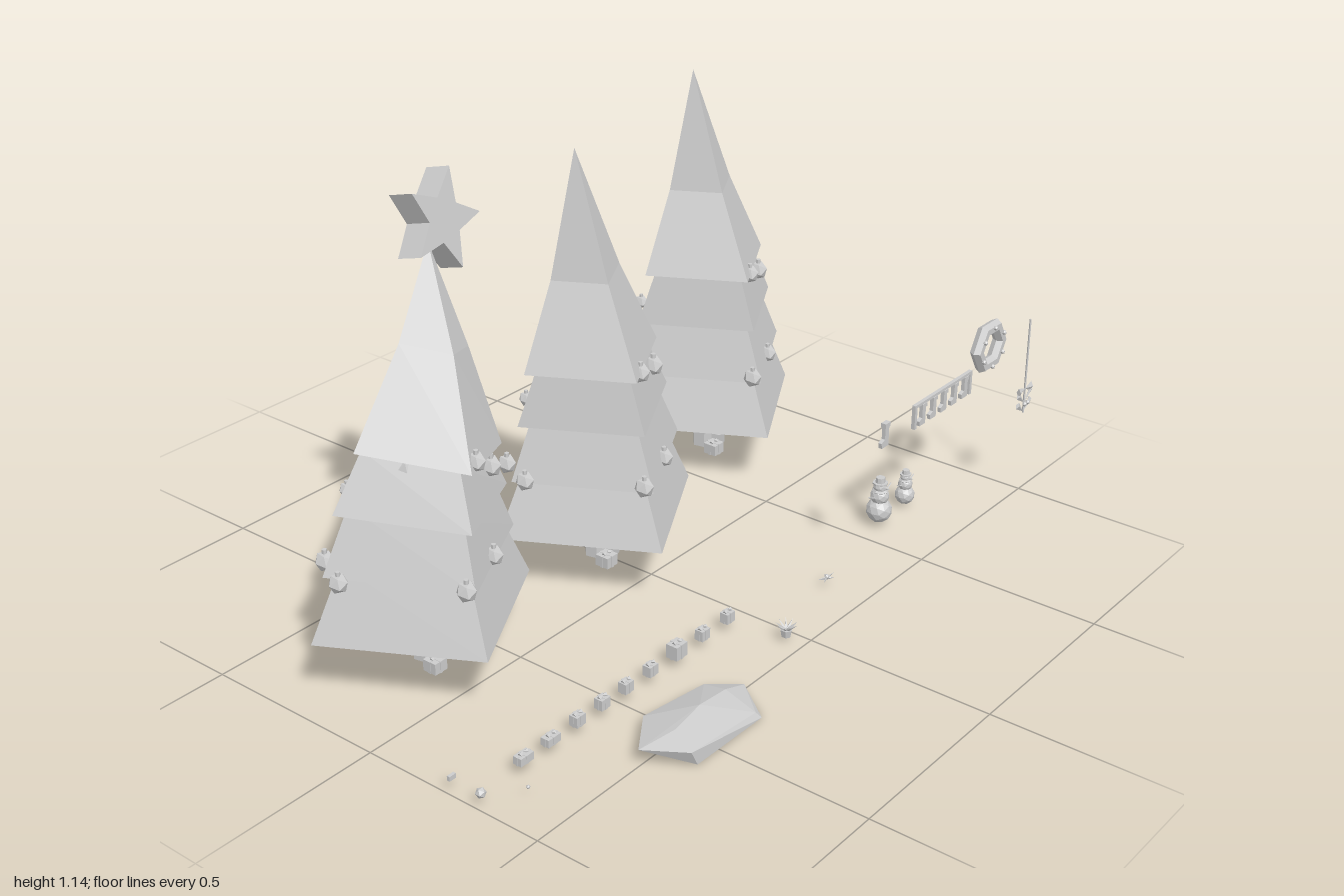
import * as THREE from 'three';
import { ConvexGeometry } from 'three/addons/geometries/ConvexGeometry.js';

const material = new THREE.MeshStandardMaterial({ color: 0xcccccc, flatShading: true, side: THREE.DoubleSide });

function add(parent, name, geometry, x = 0, y = 0, z = 0, rx = 0, ry = 0, rz = 0) {
  const mesh = new THREE.Mesh(geometry, material);
  mesh.name = name;
  mesh.position.set(x, y, z);
  mesh.rotation.set(rx, ry, rz);
  parent.add(mesh);
  return mesh;
}

function group(parent, name, x = 0, y = 0, z = 0) {
  const g = new THREE.Group();
  g.name = name;
  g.position.set(x, y, z);
  parent.add(g);
  return g;
}

const box = (w, h, d) => new THREE.BoxGeometry(w, h, d);
const ball = (r) => new THREE.IcosahedronGeometry(r, 0);

// Four corners of a turned square, optionally sloping along x
function ring([x, y, z, r, slope = 0]) {
  if (r === 0) return [new THREE.Vector3(x, y, z)];
  return [0, 1, 2, 3].map((i) => {
    const a = -0.28 + (i * Math.PI) / 2;
    const dx = r * Math.sin(a);
    return new THREE.Vector3(x + dx, y + slope * dx, z + r * Math.cos(a));
  });
}

// Wrapped present with crossed ribbons and a two-loop bow
function gift(parent, x, y, z, w, h, d, turn = 0) {
  const g = group(parent, 'gift', x, y, z);
  g.rotation.y = turn;
  add(g, 'giftBox', box(w, h, d), 0, h / 2, 0);
  add(g, 'ribbon', box(w * 0.2, h * 1.06, d * 1.06), 0, h / 2, 0);
  add(g, 'ribbon', box(w * 1.06, h * 1.06, d * 0.2), 0, h / 2, 0);
  for (const s of [-1, 1])
    add(g, 'bow', new THREE.ConeGeometry(0.006, 0.012, 4), s * 0.006, h + 0.004, 0, 0, 0, s * 1.2);
}

// Ornaments: x, y, z, radius
const LOW = [
  [-0.232, 0.32, -0.03, 0.025], [-0.088, 0.33, 0.232, 0.026], [0.072, 0.327, 0.166, 0.025],
  [0.215, 0.26, -0.037, 0.034], [0.12, 0.393, -0.135, 0.031], [-0.035, 0.42, -0.2, 0.02],
  [-0.136, 0.28, -0.18, 0.026],
];
const HIGH = [[-0.025, 0.598, 0.17, 0.025], [-0.115, 0.555, 0.04, 0.026], [0.12, 0.543, 0.092, 0.027], [0.09, 0.735, -0.035, 0.03]];
const HIGH_BENT = [[0.027, 0.588, 0.165, 0.025], [-0.07, 0.57, 0.04, 0.026], [0.15, 0.503, 0.092, 0.027], [0.175, 0.69, -0.08, 0.03]];

// Each tier is a pair of rings: x, y, z, radius, slope
const STRAIGHT = [
  [[0, 0.16, 0, 0.294], [0, 0.33, 0, 0.215]],
  [[0, 0.31, 0.004, 0.253], [-0.005, 0.47, 0.004, 0.185]],
  [[-0.008, 0.457, 0.004, 0.224], [-0.025, 0.61, 0.015, 0.16]],
  [[-0.03, 0.602, 0.018, 0.196], [-0.026, 0.82, -0.002, 0.1]],
  [[-0.026, 0.82, -0.002, 0.1], [-0.05, 1.14, -0.01, 0]],
];
const BENT = [
  [[0, 0.16, 0, 0.294], [0.01, 0.33, 0, 0.215, -0.05]],
  [[0, 0.313, 0, 0.253, -0.05], [0.015, 0.46, 0, 0.19, -0.13]],
  [[0.01, 0.445, 0.003, 0.228, -0.13], [0.03, 0.575, 0, 0.16, -0.23]],
  [[0.04, 0.565, 0.005, 0.192, -0.23], [0.125, 0.78, -0.05, 0.09, -0.3]],
  [[0.125, 0.78, -0.05, 0.09, -0.3], [0.22, 0.98, -0.15, 0]],
];

function tree(parent, x, z, tiers, ornaments) {
  const g = group(parent, 'tree', x, 0, z);
  add(g, 'trunk', new THREE.CylinderGeometry(0.032, 0.032, 0.14, 6), 0, 0.095, 0, 0, 0.2);
  for (const [a, b] of tiers) add(g, 'treeTier', new ConvexGeometry([...ring(a), ...ring(b)]));
  for (const [ox, oy, oz, r] of ornaments) {
    add(g, 'ornament', ball(r), ox, oy, oz, 0.3, 0.4, 0);
    add(g, 'ornamentCap', new THREE.CylinderGeometry(r * 0.25, r * 0.25, r * 0.4, 6), ox, oy + r, oz);
  }
  // Presents around the trunk
  gift(g, -0.03, 0.025, 0.06, 0.04, 0.03, 0.04);
  gift(g, 0.02, 0.025, 0.035, 0.035, 0.036, 0.03, 0.3);
  gift(g, 0.06, 0.025, 0.0, 0.04, 0.026, 0.035, 0.5);
  gift(g, 0.03, 0.025, -0.035, 0.03, 0.024, 0.028, 0.2);
}

function star(parent) {
  const shape = new THREE.Shape();
  for (let i = 0; i < 10; i++) {
    const r = i % 2 ? 0.055 : 0.125;
    const a = 1.13 + (i * Math.PI) / 5;
    shape[i ? 'lineTo' : 'moveTo'](r * Math.cos(a), r * Math.sin(a));
  }
  shape.closePath();
  const geo = new THREE.ExtrudeGeometry(shape, { depth: 0.07, bevelEnabled: false }).translate(0, 0, -0.035);
  add(parent, 'star', geo, -0.41, 1.02, -0.315, -0.25, 0.1, 0);
}

function snowman(parent, x, z, s) {
  const g = group(parent, 'snowman', x, 0.012, z);
  g.scale.setScalar(s);
  for (const [y, r] of [[0.034, 0.037], [0.078, 0.027], [0.106, 0.019]])
    add(g, 'snowball', new THREE.IcosahedronGeometry(r, 1), 0, y, 0);
  add(g, 'scarf', new THREE.TorusGeometry(0.018, 0.006, 5, 8), 0, 0.094, 0, Math.PI / 2);
  add(g, 'hatBrim', new THREE.CylinderGeometry(0.022, 0.022, 0.004, 8), 0, 0.118, 0);
  add(g, 'hat', new THREE.CylinderGeometry(0.013, 0.014, 0.016, 8), 0, 0.127, 0);
  add(g, 'nose', new THREE.ConeGeometry(0.005, 0.02, 5), 0, 0.106, 0.025, Math.PI / 2);
  for (const s2 of [-1, 1])
    add(g, 'arm', new THREE.CylinderGeometry(0.002, 0.003, 0.04, 5), s2 * 0.038, 0.085, 0, 0, 0, -s2 * 1.1);
}

function stocking(parent, x, y, z, s = 1) {
  const shape = new THREE.Shape(
    [[0.008, 0.03], [0.008, -0.03], [-0.02, -0.03], [-0.022, -0.016], [-0.008, -0.01], [-0.008, 0.03]]
      .reverse().map(([a, b]) => new THREE.Vector2(a * s, b * s)));
  add(parent, 'stocking', new THREE.ExtrudeGeometry(shape, { depth: 0.01, bevelEnabled: false }), x, y, z - 0.005);
  add(parent, 'stockingCuff', box(0.021 * s, 0.011 * s, 0.014), x, y + 0.026 * s, z);
}

// Tuft of narrow leaves fanning out from one point
function tuft(parent, name, x, y, z, count, length, lift) {
  const g = group(parent, name, x, y, z);
  for (let i = 0; i < count; i++) {
    const a = (i * Math.PI * 2) / count;
    const dir = new THREE.Vector3(Math.cos(a), lift, Math.sin(a)).normalize();
    const leaf = add(g, 'leaf', new THREE.ConeGeometry(length * 0.16, length, 4));
    leaf.position.copy(dir).multiplyScalar(length / 2);
    leaf.quaternion.setFromUnitVectors(new THREE.Vector3(0, 1, 0), dir);
  }
  return g;
}

export function createModel() {
  const model = new THREE.Group();
  model.name = 'festiveTreeSet';

  tree(model, -0.663, -0.155, BENT, [...LOW, ...HIGH_BENT]);
  tree(model, -0.035, -0.155, STRAIGHT, [...LOW, ...HIGH]);
  tree(model, 0.636, -0.322, STRAIGHT, [...LOW, ...HIGH]);
  star(model);

  // Faceted snow mound
  const mound = [
    [-0.665, 0.045, 0.5], [-0.54, 0.03, 0.412], [-0.35, 0.03, 0.44], [-0.28, 0.02, 0.505], [-0.35, 0.015, 0.59],
    [-0.6, 0.045, 0.598], [-0.62, 0.015, 0.5], [-0.3, 0, 0.53], [-0.34, 0, 0.6], [-0.52, 0.01, 0.43],
    [-0.58, 0.004, 0.6], [-0.47, 0.07, 0.52], [-0.57, 0.062, 0.53], [-0.36, 0.05, 0.51],
  ];
  add(model, 'snowMound', new ConvexGeometry(mound.map((p) => new THREE.Vector3(...p))));

  // Row of loose presents
  [-0.834, -0.743, -0.652, -0.565, -0.48, -0.39, -0.29, -0.19, -0.09].forEach((x, i) => {
    const big = i === 6 ? 1.35 : 1;
    gift(model, x, 0.025, 0.312, (i < 2 ? 0.042 : 0.03) * big, (i < 2 ? 0.02 : 0.027) * big, 0.024 * big);
  });

  // Small loose ornaments
  add(model, 'looseOrnament', ball(0.013), -0.985, 0.033, 0.325);
  add(model, 'looseCane', box(0.02, 0.012, 0.008), -0.985, 0.035, 0.238);
  add(model, 'looseBerry', ball(0.005), -0.9, 0.028, 0.385);

  // Plants on the ground
  tuft(model, 'plant', -0.035, 0.025, 0.45, 9, 0.036, 0.8);
  add(model, 'plantPot', new THREE.CylinderGeometry(0.016, 0.012, 0.02, 6), -0.035, 0.02, 0.45);
  tuft(model, 'hollySprig', 0.232, 0.026, 0.385, 5, 0.033, 0.05).scale.set(1, 1, 0.5);
  add(model, 'hollyBerry', ball(0.007), 0.232, 0.03, 0.385);

  snowman(model, 0.588, 0.308, 0.96);
  snowman(model, 0.715, 0.308, 0.74);

  // Stocking rack and a single stocking
  add(model, 'rackBar', box(0.275, 0.008, 0.01), 0.63, 0.43, 0.455);
  for (const x of [0.497, 0.763]) add(model, 'rackEnd', box(0.01, 0.065, 0.01), x, 0.4, 0.455);
  for (let i = 0; i < 5; i++) stocking(model, 0.535 + i * 0.051, 0.397, 0.455, 0.95);
  stocking(model, 0.363, 0.405, 0.455, 1.05);

  // Six-sided wreath with a bow
  add(model, 'wreath', new THREE.TorusGeometry(0.058, 0.018, 6, 6), 0.86, 0.47, 0.45);
  for (let i = 0; i < 6; i++) {
    const a = (i * Math.PI) / 3 + 0.5;
    add(model, 'wreathBerry', ball(0.007), 0.86 + 0.055 * Math.cos(a), 0.47 + 0.055 * Math.sin(a), 0.468);
  }

  // Hanging mistletoe
  const m = group(model, 'mistletoe', 0.96, 0, 0.515);
  add(m, 'string', new THREE.CylinderGeometry(0.003, 0.003, 0.2, 5), 0, 0.43, 0);
  for (const s of [-1, 1]) {
    add(m, 'bowLoop', new THREE.ConeGeometry(0.014, 0.032, 4), s * 0.016, 0.325, 0, 0, 0, s * 1.5).scale.z = 0.5;
    for (const y of [0.3, 0.272])
      add(m, 'leaf', new THREE.ConeGeometry(0.01, 0.045, 4), s * 0.016, y, 0, 0, 0, s * (Math.PI - 0.85)).scale.z = 0.5;
    add(m, 'berry', ball(0.007), s * 0.008, 0.285, 0.007);
  }
  add(m, 'stem', new THREE.CylinderGeometry(0.003, 0.003, 0.08, 5), 0, 0.295, 0);
  return model;
}
